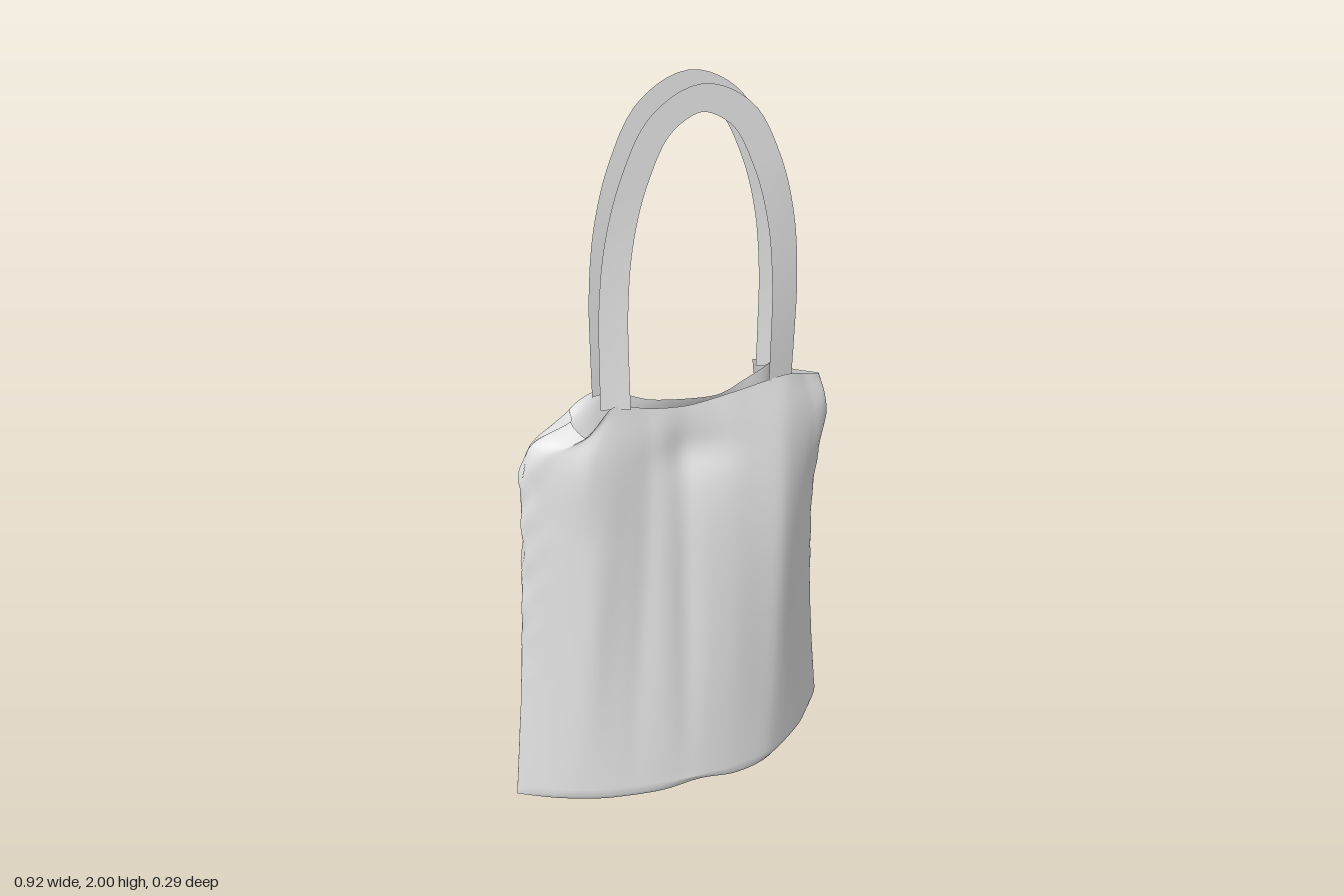
import * as THREE from 'three';

const cloth = new THREE.MeshStandardMaterial({ color: 0xe4e4e4, side: THREE.DoubleSide });
cloth.name = 'pale grey cloth';

// Cross-sections [x, z] from the right seam, along the front to the left corner, and back
const hem = [[-.46, .01], [-.36, .075], [-.25, .115], [-.1, .137], [0, .142], [.12, .132], [.23, .1], [.36, .0],
  [.46, -.138], [.43, -.112], [.24, .07], [.13, .114], [.06, .124], [-.07, .12], [-.23, .1], [-.36, .055]];
const low = [[-.435, .01], [-.37, .062], [-.26, .108], [-.1, .132], [0, .138], [.12, .132], [.24, .095], [.33, .03],
  [.41, -.075], [.385, -.133], [.25, .0], [.155, .085], [.1, .06], [-.07, .025], [-.22, .045], [-.36, .01]];
const middle = [[-.42, .015], [-.36, .065], [-.27, .115], [-.1, .12], [0, .12], [.12, .122], [.25, .105], [.33, .055],
  [.38, -.02], [.305, -.13], [.25, -.035], [.17, .055], [.1, -.015], [-.11, -.03], [-.23, .0], [-.35, -.025]];
const high = [[-.405, .01], [-.355, .065], [-.27, .122], [-.1, .1], [0, .085], [.12, .1], [.25, .098], [.34, .068],
  [.385, .03], [.265, -.125], [.255, -.02], [.19, .025], [.12, .005], [-.12, -.005], [-.22, -.015], [-.34, -.04]];
const rim = [[-.285, .02], [-.275, .115], [-.2, .095], [-.1, .08], [0, .075], [.12, .085], [.25, .08], [.31, .06],
  [.365, .03], [.24, -.105], [.25, 0], [.17, .025], [.08, .045], [-.08, .03], [-.2, 0], [-.26, -.055]];
const rimY = [1.125, 1.13, 1.19, 1.16, 1.147, 1.17, 1.19, 1.175, 1.15, 1.14, 1.19, 1.165, 1.145, 1.155, 1.19, 1.125];

const bump = (d, width) => Math.exp(-(d * d) / (width * width));

// Soft folds hanging from the front handle ends and crumples on the side corners
function drape(p, along) {
  const hang = Math.sin(Math.PI * THREE.MathUtils.clamp(p.y / 1.2, 0, 1));
  const drop = 1.19 - p.y;
  if (along < 0.5) {
    p.z += hang * (.009 * bump(p.x + .2 + drop * .1, .05) - .01 * bump(p.x + .02, .035)
      + .01 * bump(p.x - .24 - drop * .02, .05) - .006 * bump(p.x + .1 + drop * .06, .03));
    p.z -= .012 * bump(p.y - 1.02, .06) * bump(p.x - .02, .09);
  }
  const side = bump(along - 8.5 / 16, .05) + bump(Math.min(along, 1 - along), .04);
  const rumple = side * THREE.MathUtils.smoothstep(p.y, .15, 1);
  p.x += rumple * (.004 * Math.sin(p.y * 27 + along * 60) + .003 * Math.sin(p.y * 51 - along * 90));
  p.z += rumple * .003 * Math.sin(p.y * 33 + along * 110);
  return p;
}

// Bag body: one closed loop of cloth swept through the cross-sections
function makeBody() {
  const around = 192, up = 72;
  const loops = [hem, low, middle, high, rim].map((section, level) => new THREE.CatmullRomCurve3(
    section.map(([x, z], i) => new THREE.Vector3(x, [.015, .4, .8, 1.04, rimY[i]][level], z)),
    true, 'catmullrom', 0.4));
  const rows = Array.from({ length: up + 2 }, () => []);
  for (let i = 0; i < around; i++) {
    const along = i / around;
    const column = new THREE.CatmullRomCurve3(loops.map(c => c.getPoint(along)), false, 'catmullrom', 0.5);
    for (let j = 0; j <= up; j++) rows[j + 1].push(drape(column.getPoint(j / up), along));
  }
  // Bottom seam halfway between front and back, lifted a little at its centre
  for (let i = 0; i < around; i++) {
    const seam = rows[1][i].clone().lerp(rows[1][(around - i) % around], .5);
    seam.y = .018 * bump(seam.x - .02, .08) + .012 * THREE.MathUtils.smoothstep(seam.x, .1, .46);
    rows[1][i].y += seam.y;
    rows[0].push(seam);
  }
  const index = [];
  for (let j = 0; j <= up; j++) {
    for (let i = 0; i < around; i++) {
      const n = (i + 1) % around;
      const a = j * around + i, b = j * around + n;
      index.push(a, b, b + around, a, b + around, a + around);
    }
  }
  const geometry = new THREE.BufferGeometry().setFromPoints(rows.flat());
  geometry.setIndex(index);
  geometry.computeVertexNormals();
  return geometry;
}

// Handle: a flat ribbon following an arch, its ends resting on the rim
function makeHandle(topZ, rightZ, leftZ, twist) {
  const half = [[-.193, 1.18], [-.195, 1.3], [-.195, 1.45], [-.18, 1.62], [-.14, 1.78], [-.073, 1.913]];
  const points = [...half, [.026, 1.965], ...half.map(([x, y]) => [.052 - x, y]).reverse()];
  const path = new THREE.CatmullRomCurve3(points.map(([x, y]) => new THREE.Vector3(x, y, 0)));
  const steps = 64, halfWidth = .035;
  const geometry = new THREE.PlaneGeometry(1, 1, steps, 2);
  const position = geometry.attributes.position;
  for (let i = 0; i < position.count; i++) {
    const t = (i % (steps + 1)) / steps;
    const across = 1 - Math.floor(i / (steps + 1));
    const p = path.getPoint(t), d = path.getTangent(t);
    const bend = THREE.MathUtils.clamp((1.75 - p.y) / .58, 0, 1);
    const baseZ = t < .5 ? rightZ : leftZ;
    position.setXYZ(i, p.x - d.y * across * halfWidth, p.y + d.x * across * halfWidth,
      THREE.MathUtils.lerp(topZ, baseZ, bend) - across * bend * twist);
  }
  geometry.computeVertexNormals();
  return geometry;
}

export function createModel() {
  const bag = new THREE.Group();
  bag.name = 'toteBag';
  const add = (name, geometry) => {
    const mesh = new THREE.Mesh(geometry, cloth);
    mesh.name = name;
    bag.add(mesh);
  };
  add('bagBody', makeBody());
  add('frontHandle', makeHandle(.094, .092, .074, .012));
  add('backHandle', makeHandle(.003, .004, .004, -.009));
  return bag;
}
